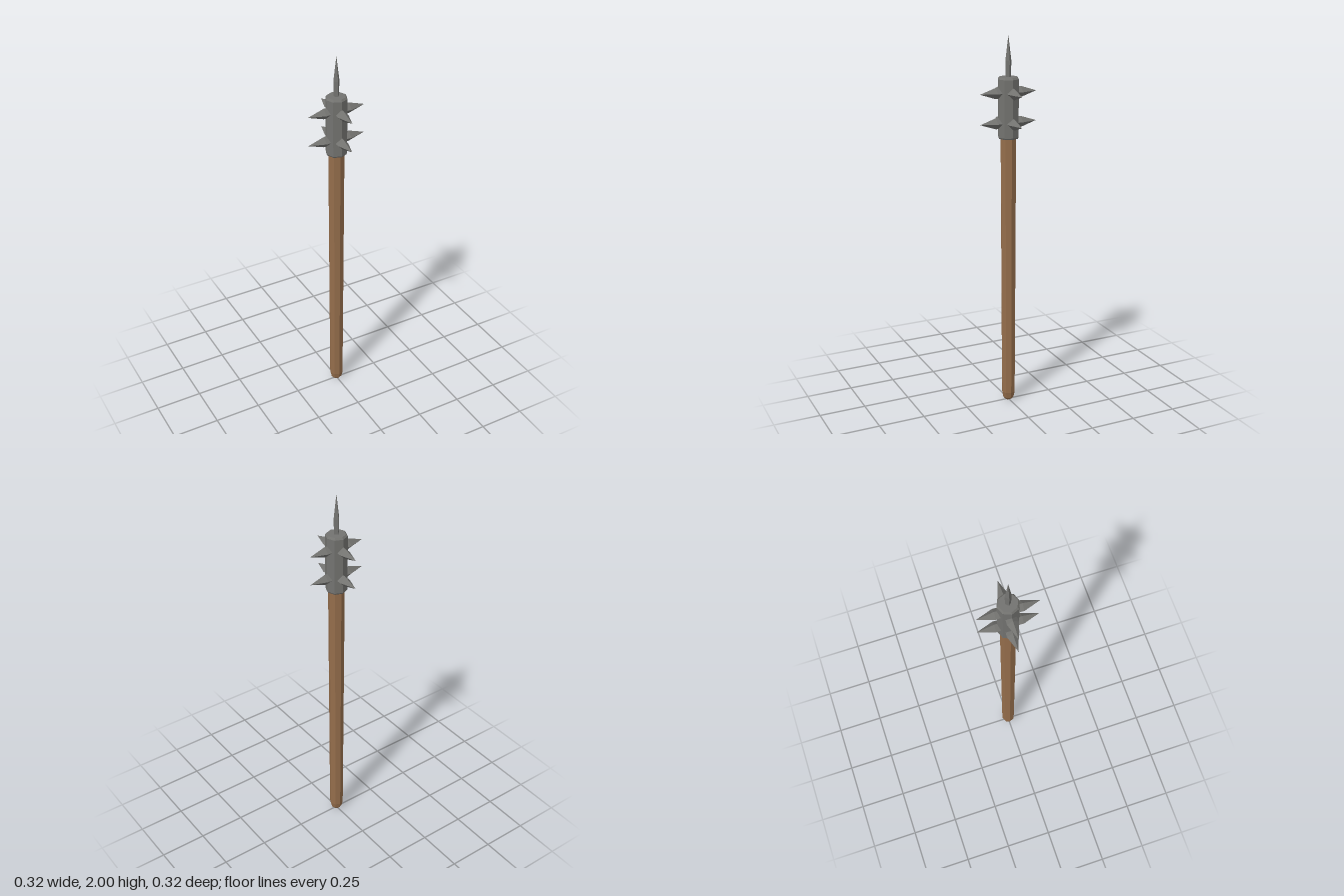
import * as THREE from 'three';

// Faceted solid of revolution from [radius, height] pairs, listed bottom to top
function faceted(profile, sides) {
  const points = profile.map(([r, y]) => new THREE.Vector2(r, y));
  const geometry = new THREE.LatheGeometry(points, sides).toNonIndexed();
  geometry.computeVertexNormals();
  return geometry;
}

export function createModel() {
  const wood = new THREE.MeshStandardMaterial({ color: 0x946d4b, flatShading: true });
  wood.name = 'brown wood';
  const metal = new THREE.MeshStandardMaterial({ color: 0x737370, flatShading: true });
  metal.name = 'grey iron';

  const group = new THREE.Group();
  group.name = 'spikedMace';
  const add = (name, geometry, material) => {
    const mesh = new THREE.Mesh(geometry, material);
    mesh.name = name;
    group.add(mesh);
    return mesh;
  };

  // Octagonal shaft, slightly tapered, with a rounded foot
  add('shaft', faceted([
    [0, 0], [0.018, 0.002], [0.03, 0.016], [0.037, 0.048], [0.042, 1.4], [0.042, 1.48],
  ], 8), wood);

  // Octagonal sleeve with bevelled rims
  add('head', faceted([
    [0, 1.474], [0.051, 1.474], [0.056, 1.482], [0.056, 1.78], [0.048, 1.79], [0, 1.79],
  ], 8), metal);

  // Slim point on top of the head
  add('topSpike', faceted([[0.014, 1.78], [0.017, 1.87], [0, 2]], 4), metal);

  // Two rings of four diamond-section spikes
  const spike = faceted([[0.027, 0.03], [0.029, 0.07], [0, 0.158]], 4);
  spike.rotateZ(-Math.PI / 2);
  for (const y of [1.555, 1.71]) {
    for (let i = 0; i < 4; i++) {
      const mesh = add('sideSpike', spike, metal);
      mesh.position.y = y;
      mesh.rotation.y = i * Math.PI / 2;
    }
  }
  return group;
}
